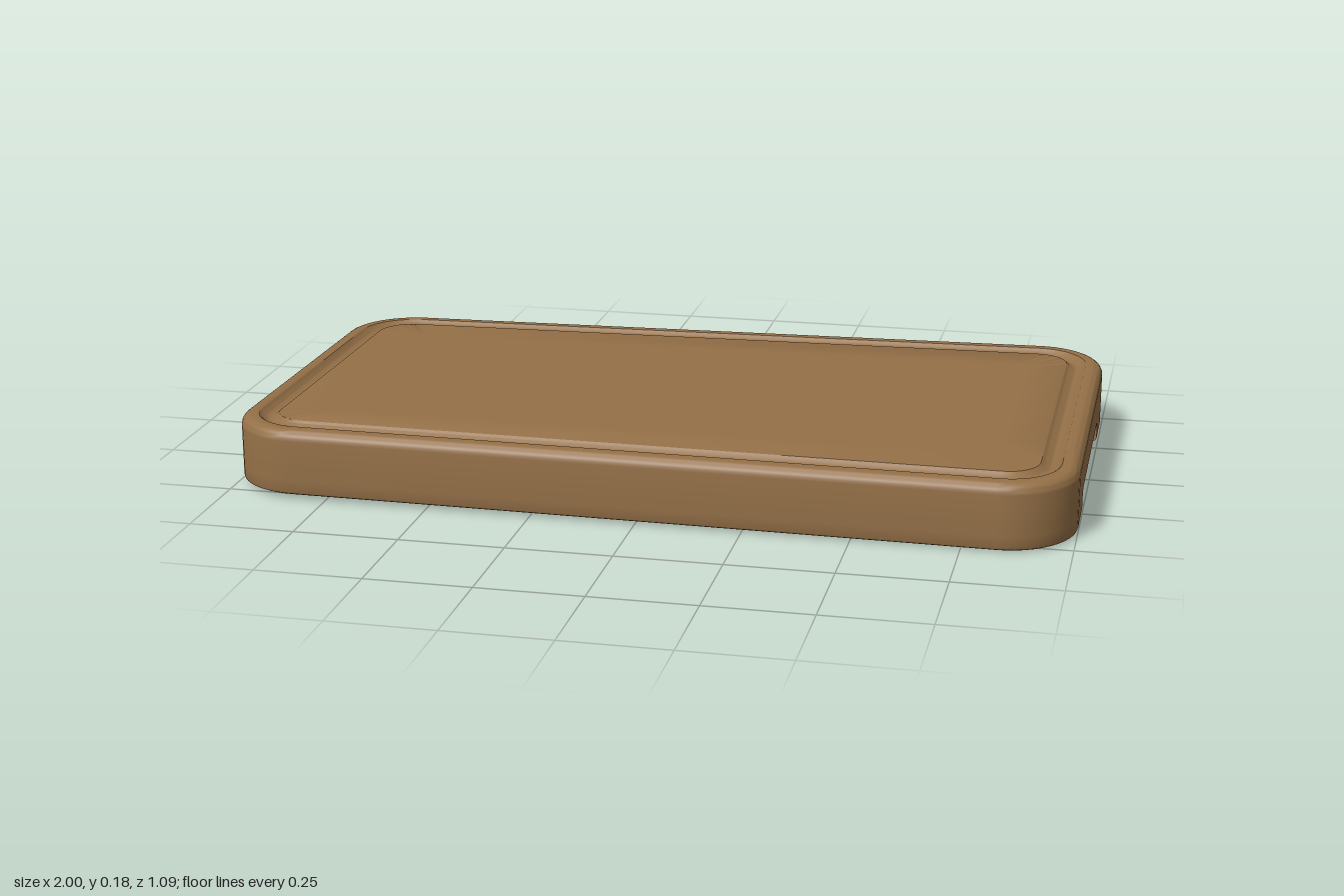
import * as THREE from 'three';
import { toCreasedNormals } from 'three/addons/utils/BufferGeometryUtils.js';

const HX = 1, HZ = 0.543, CORNER = 0.17, THICK = 0.157;
const NOTCH = { half: 0.25, depth: 0.05, height: 0.055, fillet: 0.02 };

// Closed rounded outline, with a grip recess of depth d and half width w in both ends
function outline(inset, d, w) {
  const hx = HX - inset, hz = HZ - inset;
  const r = Math.max(CORNER - inset, 0.03);
  w = Math.min(w, hz - r);
  const pts = [[hx, -w], [hx - d, -w], [hx - d, w], [hx, w]];
  const arc = (sx, sz, start) => {
    for (let i = 0; i <= 12; i++) {
      const a = start + (i / 12) * Math.PI / 2;
      pts.push([sx * (hx - r) + r * Math.cos(a), sz * (hz - r) + r * Math.sin(a)]);
    }
  };
  arc(1, 1, 0);
  arc(-1, 1, Math.PI / 2);
  pts.push([-hx, w], [-hx + d, w], [-hx + d, -w], [-hx, -w]);
  arc(-1, -1, Math.PI);
  arc(1, -1, Math.PI * 1.5);
  return pts;
}

// Slight twist of the warped wood
const warp = (x, z) => 0.0105 + 0.0035 * x - (0.0025 + 0.0095 * x) * z / HZ;

function boardGeometry() {
  const rings = [];
  const ring = (y, inset, d = 0, w = NOTCH.half) => rings.push({ y, pts: outline(inset, d, w) });
  const { half, depth, height, fillet } = NOTCH;

  // underside and its softened edge
  for (const inset of [0.5, 0.35, 0.2]) ring(0, inset);
  ring(0, 0.008, depth - 0.008);
  ring(0.003, 0.002, depth - 0.002);
  ring(0.008, 0, depth);
  // grip recesses, rounded towards their roofs
  for (let i = 0; i <= 5; i++) {
    const a = (i / 5) * Math.PI / 2, cut = fillet * (1 - Math.cos(a));
    ring(height - fillet + fillet * Math.sin(a), 0, depth - cut, half - cut);
  }
  ring(height, 0, 0, half - fillet);
  // side wall and rounded top edge
  const edge = 0.025;
  for (let i = 0; i <= 6; i++) {
    const a = (i / 6) * Math.PI / 2;
    ring(THICK - edge + edge * Math.sin(a), edge * (1 - Math.cos(a)));
  }
  // juice groove
  for (let i = 0; i <= 8; i++) {
    const t = i / 8;
    ring(THICK - 0.014 * Math.sin(Math.PI * t), 0.042 + 0.048 * t);
  }
  // cutting surface
  for (const inset of [0.2, 0.35, 0.5]) ring(THICK, inset);

  const n = rings[0].pts.length, pos = [], idx = [];
  for (const { y, pts } of rings) for (const [x, z] of pts) pos.push(x, y + warp(x, z), z);
  for (let i = 0; i < rings.length - 1; i++) {
    for (let j = 0; j < n; j++) {
      const a = i * n + j, b = i * n + (j + 1) % n;
      idx.push(a, a + n, b, b, a + n, b + n);
    }
  }
  // close the middle of both faces
  const bottom = rings.length * n, top = bottom + 1, last = bottom - n;
  pos.push(0, warp(0, 0), 0, 0, THICK + warp(0, 0), 0);
  for (let j = 0; j < n; j++) {
    const k = (j + 1) % n;
    idx.push(bottom, j, k, top, last + k, last + j);
  }
  const g = new THREE.BufferGeometry();
  g.setAttribute('position', new THREE.Float32BufferAttribute(pos, 3));
  g.setIndex(idx);
  return toCreasedNormals(g, 0.7);
}

export function createModel() {
  const wood = new THREE.MeshStandardMaterial({ color: 0x947047 });
  wood.name = 'wood';
  const board = new THREE.Mesh(boardGeometry(), wood);
  board.name = 'cuttingBoard';
  const group = new THREE.Group();
  group.name = 'board';
  group.add(board);
  return group;
}
